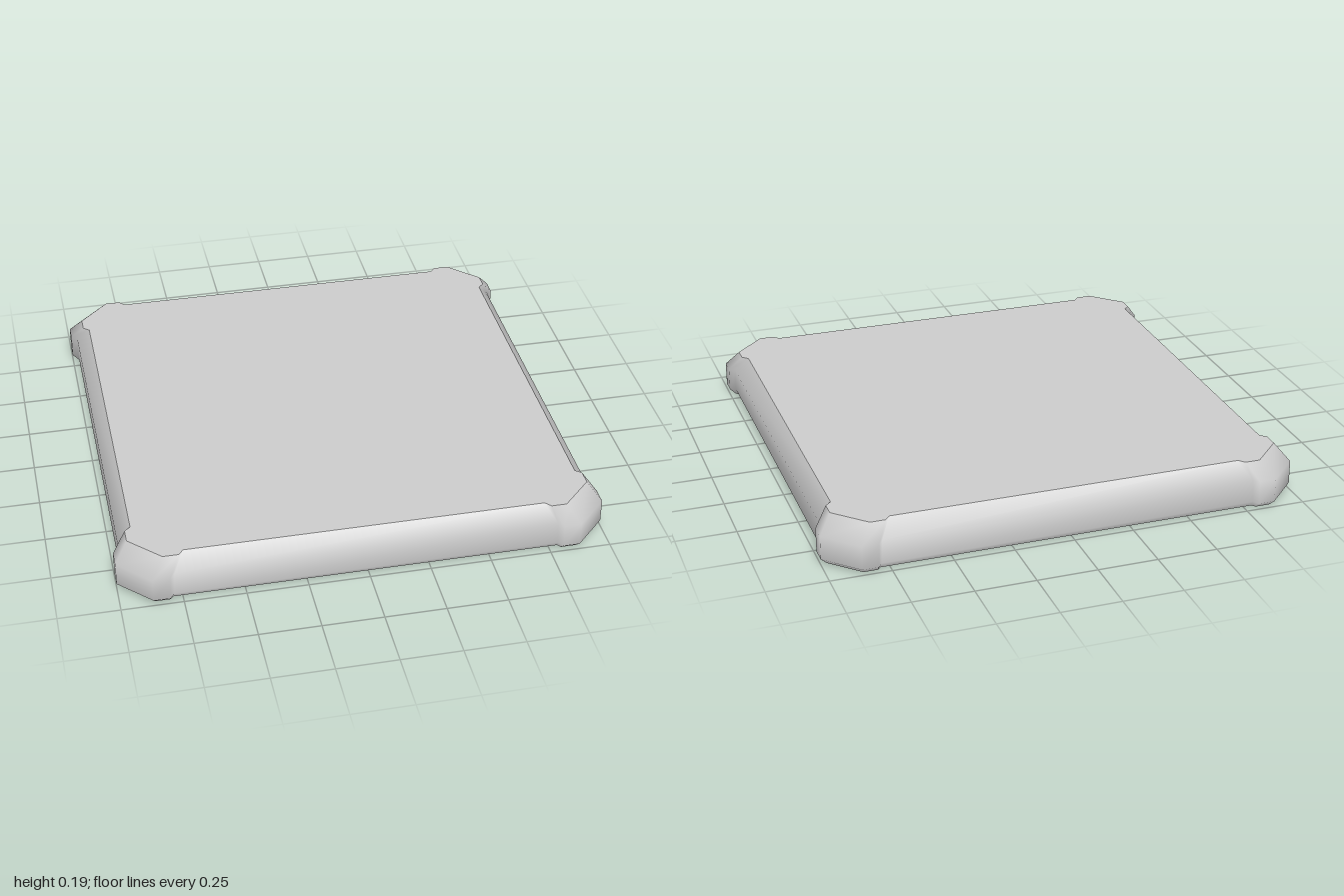
import * as THREE from 'three';

// Slab cross-sections: height, side wall, corner guard face, chamfer end, guard lip, guard foot
const LEVELS = [
  { y: 0, side: 0.96, guard: 0.975, chamfer: 0.86, lip: 0.8, foot: 0.787 },
  { y: 0.025, side: 0.975, guard: 1, chamfer: 0.87, lip: 0.803, foot: 0.785 },
  { y: 0.125, side: 0.975, guard: 1, chamfer: 0.87, lip: 0.8, foot: 0.78 },
  { y: 0.195, side: 0.92, guard: 0.945, chamfer: 0.82, lip: 0.757, foot: 0.735 },
];

// Outline of one level: the same chamfered corner turned four times
function outline({ side, guard, chamfer, lip, foot }) {
  const corner = [[side, foot], [guard, lip], [guard, chamfer], [chamfer, guard], [lip, guard], [foot, side]];
  const points = [];
  for (let i = 0; i < 4; i++) {
    for (const [x, z] of corner) {
      points.push([[x, z], [-z, x], [-x, -z], [z, -x]][i]);
    }
  }
  return points;
}

// Rim joining the stacked outlines
function rimGeometry() {
  const positions = [], index = [];
  for (const level of LEVELS) {
    for (const [x, z] of outline(level)) positions.push(x, level.y, z);
  }
  const n = positions.length / 3 / LEVELS.length;
  for (let l = 0; l < LEVELS.length - 1; l++) {
    for (let i = 0; i < n; i++) {
      const a = l * n + i, b = l * n + (i + 1) % n;
      index.push(a, a + n, b, b, a + n, b + n);
    }
  }
  const geometry = new THREE.BufferGeometry();
  geometry.setAttribute('position', new THREE.Float32BufferAttribute(positions, 3));
  geometry.setIndex(index);
  geometry.computeVertexNormals();
  return geometry;
}

// Flat face closing one level, facing up or down
function capGeometry(level, up) {
  const points = outline(level).map(([x, z]) => new THREE.Vector2(x, up ? -z : z));
  const geometry = new THREE.ShapeGeometry(new THREE.Shape(points));
  geometry.rotateX(up ? -Math.PI / 2 : Math.PI / 2);
  geometry.translate(0, level.y, 0);
  return geometry;
}

export function createModel() {
  const group = new THREE.Group();
  group.name = 'floorTile';
  const material = new THREE.MeshStandardMaterial({ color: 0xcccccc });
  const add = (name, geometry) => {
    const mesh = new THREE.Mesh(geometry, material);
    mesh.name = name;
    group.add(mesh);
  };
  add('rim', rimGeometry());
  add('topFace', capGeometry(LEVELS[LEVELS.length - 1], true));
  add('bottomFace', capGeometry(LEVELS[0], false));
  return group;
}
